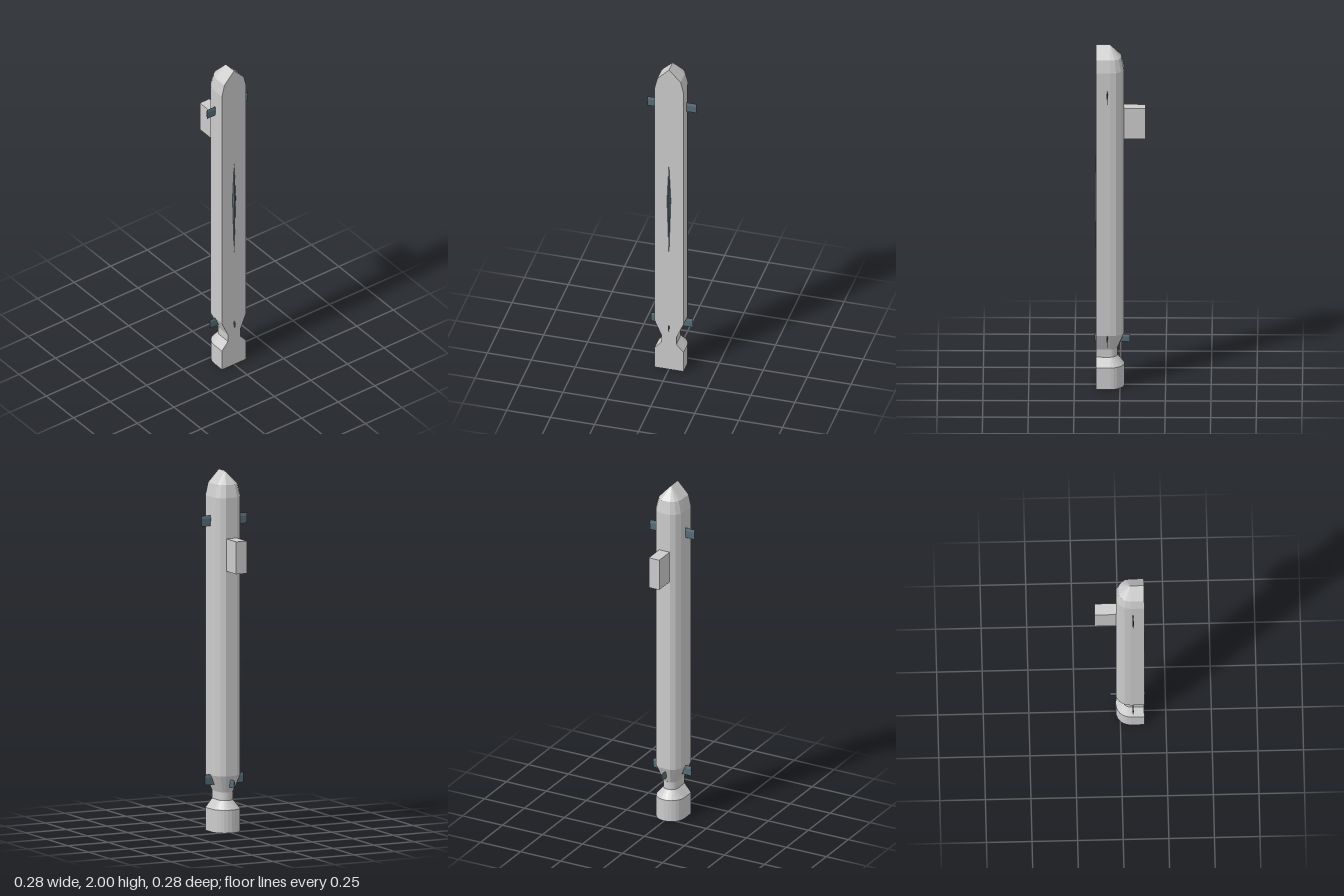
import * as THREE from 'three';
import { ConvexGeometry } from 'three/addons/geometries/ConvexGeometry.js';

const FRONT = 0.131, AXIS = 0.055;
const grey = new THREE.MeshStandardMaterial({ color: 0xcccccc, flatShading: true });
const finGrey = new THREE.MeshStandardMaterial({ color: 0x5a707a, flatShading: true });
const dark = new THREE.MeshStandardMaterial({ color: 0x333333, flatShading: true });

// D-shaped section: rounded back scaled about the axis, flat front kept in place
function section(arc, s, y) {
  const pts = [[arc[0][0], FRONT - AXIS], ...arc, [arc[arc.length - 1][0], FRONT - AXIS]];
  return pts.map(([x, z], i) => new THREE.Vector3(
    x * s, y, i === 0 || i === pts.length - 1 ? FRONT : AXIS + z * s));
}

// Loft through D-shaped sections, with both ends capped
function loft(arc, levels) {
  const rings = levels.map(([y, s]) => section(arc, s, y));
  const pos = [];
  const tri = (a, b, c) => pos.push(...a.toArray(), ...b.toArray(), ...c.toArray());
  const n = rings[0].length;
  for (let k = 0; k < rings.length - 1; k++) {
    const lo = rings[k], hi = rings[k + 1];
    for (let i = 0; i < n; i++) {
      const j = (i + 1) % n;
      tri(lo[i], lo[j], hi[j]);
      if (levels[k + 1][1] > 0 || i === 0 || i >= n - 2) tri(lo[i], hi[j], hi[i]);
    }
  }
  const bottom = rings[0], top = rings[rings.length - 1];
  for (let i = 1; i < n - 1; i++) {
    tri(bottom[0], bottom[i + 1], bottom[i]);
    if (levels[levels.length - 1][1] > 0) tri(top[0], top[i], top[i + 1]);
  }
  const g = new THREE.BufferGeometry();
  g.setAttribute('position', new THREE.Float32BufferAttribute(pos, 3));
  g.computeVertexNormals();
  return g;
}

// Thin kite-section fin spanning x from x0 to x1, thickest near its top edge
function finGeometry(x0, x1, y0, y1, thick) {
  const s = new THREE.Shape();
  const yw = y0 + (y1 - y0) * 0.7;
  s.moveTo(0, y0);
  s.lineTo(thick / 2, yw);
  s.lineTo(0, y1);
  s.lineTo(-thick / 2, yw);
  s.closePath();
  const g = new THREE.ExtrudeGeometry(s, { depth: x1 - x0, bevelEnabled: false });
  g.translate(0, 0, x0);
  g.rotateY(Math.PI / 2);
  return g;
}

export function createModel() {
  const model = new THREE.Group();
  model.name = 'missile';
  const add = (name, geometry, material, x = 0, y = 0, z = 0) => {
    const m = new THREE.Mesh(geometry, material);
    m.name = name;
    m.position.set(x, y, z);
    model.add(m);
    return m;
  };

  // Faceted main body with tapered neck and pointed nose
  const half = [[0.083, 0], [0.078, -0.033], [0.06, -0.06], [0.034, -0.077]];
  const bodyArc = [...half, ...half.map(([x, z]) => [-x, z]).reverse()];
  add('body', loft(bodyArc, [[0.22, 0.51], [0.315, 1], [1.86, 1], [1.93, 0.8], [2, 0]]), grey);

  // Rounder booster with a narrow collar
  const boosterArc = [];
  for (let i = 0; i <= 12; i++) {
    const a = Math.PI * i / 12;
    boosterArc.push([0.083 * Math.cos(a), -0.08 * Math.sin(a)]);
  }
  add('booster', loft(boosterArc, [[0, 1], [0.127, 1], [0.175, 0.51], [0.22, 0.51]]), grey);

  // Air intake on the back, with a dark opening underneath
  add('intake', new THREE.BoxGeometry(0.065, 0.18, 0.13), grey, 0, 1.545, -0.075);
  add('intakeOpening', new THREE.BoxGeometry(0.045, 0.004, 0.07), dark, 0, 1.454, -0.057);

  // Side fins near the nose and the tail
  for (const side of [1, -1]) {
    const label = side > 0 ? 'left' : 'right';
    const span = (outer) => side > 0 ? [0.03, outer] : [-outer, -0.03];
    add(label + 'NoseFin', finGeometry(...span(0.14), 1.697, 1.757, 0.007), finGrey, 0, 0, 0.069);
    add(label + 'TailFin', finGeometry(...span(0.119), 0.26, 0.318, 0.007), finGrey, 0, 0, 0.069);
  }

  // Front and back tail fins
  const back = add('backTailFin', finGeometry(0, 0.125, 0.25, 0.295, 0.007), finGrey, 0, 0, 0.07);
  back.rotation.y = Math.PI / 2;
  const front = add('frontTailFin', finGeometry(0, 0.07, 0.255, 0.295, 0.007), finGrey, 0, 0, 0.07);
  front.rotation.y = -Math.PI / 2;

  // Slender diamond wing root on the flat front
  const P = (x, y, z) => new THREE.Vector3(x, y, z);
  add('frontWing', new ConvexGeometry([
    P(0, 1.37, 0.132), P(0, 0.76, 0.132), P(0, 1.37, 0.125), P(0, 0.76, 0.125),
    P(0.011, 1.13, 0.132), P(-0.011, 1.13, 0.132), P(0.011, 1.13, 0.125), P(-0.011, 1.13, 0.125),
    P(0.003, 1.16, 0.138), P(-0.003, 1.16, 0.138), P(0.003, 1.1, 0.138), P(-0.003, 1.1, 0.138),
  ]), finGrey);
  return model;
}
